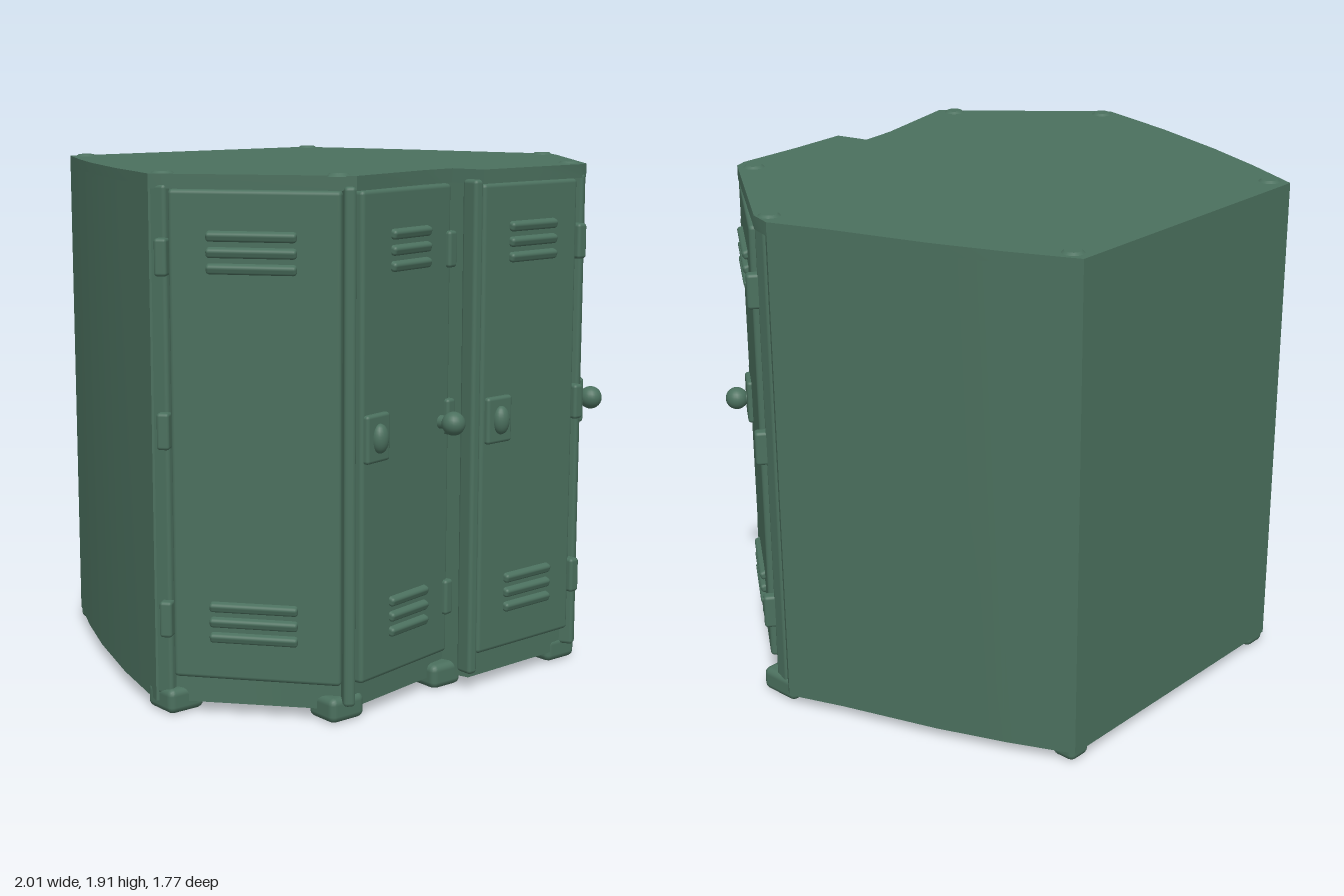
import * as THREE from 'three';
import { toCreasedNormals } from 'three/addons/utils/BufferGeometryUtils.js';
import { RoundedBoxGeometry } from 'three/addons/geometries/RoundedBoxGeometry.js';

const green = new THREE.MeshStandardMaterial({ color: 0x4b705e });
green.name = 'locker green';

function add(parent, name, geometry, x = 0, y = 0, z = 0) {
  const mesh = new THREE.Mesh(geometry, green);
  mesh.name = name;
  mesh.position.set(x, y, z);
  parent.add(mesh);
  return mesh;
}

const box = (w, h, d, r = 0.012) => new RoundedBoxGeometry(w, h, d, 2, r);

// Prism standing on a floor outline of [x, z] points
function prism(points, y0, y1) {
  const shape = new THREE.Shape(points.map(([x, z]) => new THREE.Vector2(x, -z)));
  const g = new THREE.ExtrudeGeometry(shape, { depth: y1 - y0, bevelEnabled: false });
  g.rotateX(-Math.PI / 2).translate(0, y0, 0);
  return toCreasedNormals(g, 0.45);
}

// Back and bulging side walls, shared by the carcass and the roof
const leftWall = [[-1, 0.27], [-0.91, -0.07], [-0.8, -0.4], [-0.7, -0.65], [-0.59, -0.89]];
const rightWall = [[0.59, -0.89], [0.7, -0.65], [0.8, -0.4], [0.92, -0.04], [1, 0.17]];

// Four front faces: ends on the floor plan and x-ranges of the fittings seen from the front
const faces = [
  { name: 'farRight', a: [-0.985, 0.29], b: [-0.555, 0.81], door: [-0.955, -0.575], vent: [-0.87, -0.67], hinge: -0.97 },
  { name: 'innerRight', a: [-0.55, 0.81], b: [-0.005, 0.705], door: [-0.52, -0.03], vent: [-0.37, -0.16], hinge: -0.04,
    lock: -0.45, handle: 'oval', ball: -0.08 },
  { name: 'innerLeft', a: [0.02, 0.815], b: [0.55, 0.795], door: [0.03, 0.52], vent: [0.16, 0.4], hinge: 0.535,
    lock: 0.11, handle: 'oval' },
  { name: 'farLeft', a: [0.565, 0.79], b: [0.975, 0.26], door: [0.595, 0.95], vent: [0.665, 0.855], hinge: 0.96,
    lock: 0.64, handle: 'ball' },
];

function buildFace(f) {
  const [ax, az] = f.a;
  const dx = f.b[0] - ax, dz = f.b[1] - az;
  const angle = Math.atan2(-dz, dx);
  const u = (x) => (x - ax) / Math.cos(angle);
  const g = new THREE.Group();
  g.name = f.name + 'Front';
  g.position.set(ax, 0, az);
  g.rotation.y = angle; // local x runs along the face, local z points outward

  // Door panel with a shallow raised centre
  const u0 = u(f.door[0]), u1 = u(f.door[1]), mid = (u0 + u1) / 2;
  add(g, 'door', box(u1 - u0, 1.71, 0.05, 0.015), mid, 0.995, -0.006);

  // Louvred vents, upper and lower
  const v0 = u(f.vent[0]), v1 = u(f.vent[1]);
  for (const y of [1.64, 0.35]) {
    for (const dy of [-0.055, 0, 0.055]) {
      const slat = add(g, 'ventSlat', box(v1 - v0, 0.034, 0.035), (v0 + v1) / 2, y + dy, 0.021);
      slat.rotation.x = 0.35;
    }
  }

  // Hinges
  for (const y of [1.62, 1.02, 0.35]) add(g, 'hinge', box(0.045, 0.13, 0.06), u(f.hinge), y, 0.008);

  // Lock plate and handle
  if (f.lock !== undefined) {
    const x = u(f.lock);
    add(g, 'lockPlate', box(0.125, 0.17, 0.035), x, 1.005, 0.02);
    if (f.handle === 'oval') {
      add(g, 'handle', new THREE.SphereGeometry(1, 20, 14), x, 1.005, 0.04).scale.set(0.034, 0.052, 0.03);
    } else {
      addKnob(g, x);
    }
  }
  if (f.ball !== undefined) addKnob(g, u(f.ball));
  return g;
}

// Round knob on a short stem
function addKnob(g, x) {
  const stem = add(g, 'knobStem', new THREE.CylinderGeometry(0.022, 0.026, 0.07, 16), x, 1.005, 0.035);
  stem.rotation.x = Math.PI / 2;
  add(g, 'knob', new THREE.SphereGeometry(0.043, 20, 14), x, 1.005, 0.075);
}

export function createModel() {
  const model = new THREE.Group();
  model.name = 'lockerBlock';

  // Carcass, set back behind the doors
  add(model, 'carcass', prism([...leftWall, ...rightWall,
    [0.95, 0.24], [0.53, 0.765], [0.03, 0.785], [0, 0.675], [-0.54, 0.775], [-0.96, 0.29]], 0.04, 1.86));

  // Roof reaching out over the doors
  add(model, 'roof', prism([...leftWall, ...rightWall,
    [0.975, 0.26], [0.59, 0.79], [0.54, 0.81], [0.27, 0.815], [0.03, 0.83],
    [0, 0.7], [-0.15, 0.72], [-0.54, 0.82], [-0.97, 0.31]], 1.85, 1.9));

  // Doors and fittings
  for (const f of faces) model.add(buildFace(f));

  // Corner posts between the doors
  for (const [x, z, turn] of [[-0.965, 0.285, 0.4], [-0.545, 0.785, -0.5], [0.018, 0.79, 0], [0.555, 0.77, 0.5], [0.955, 0.235, -0.2]]) {
    add(model, 'cornerPost', box(0.042, 1.8, 0.07, 0.014), x, 0.965, z).rotation.y = turn;
  }

  // Feet
  for (const [x, z, w, d] of [[-0.915, 0.27, 0.15, 0.15], [-0.535, 0.71, 0.15, 0.14], [-0.02, 0.66, 0.14, 0.14],
    [0.54, 0.7, 0.15, 0.14], [0.91, 0.25, 0.15, 0.17], [-0.55, -0.835, 0.1, 0.1], [0.55, -0.835, 0.1, 0.1]]) {
    add(model, 'foot', box(w, 0.09, d, 0.025), x, 0.045, z);
  }

  // Low bosses on the roof corners
  for (const [x, z] of [[-0.94, 0.27], [-0.56, 0.75], [0.56, 0.73], [0.94, 0.22], [-0.56, -0.82], [0.56, -0.82]]) {
    add(model, 'roofBoss', new THREE.CylinderGeometry(0.03, 0.045, 0.012, 16), x, 1.902, z);
  }
  return model;
}
